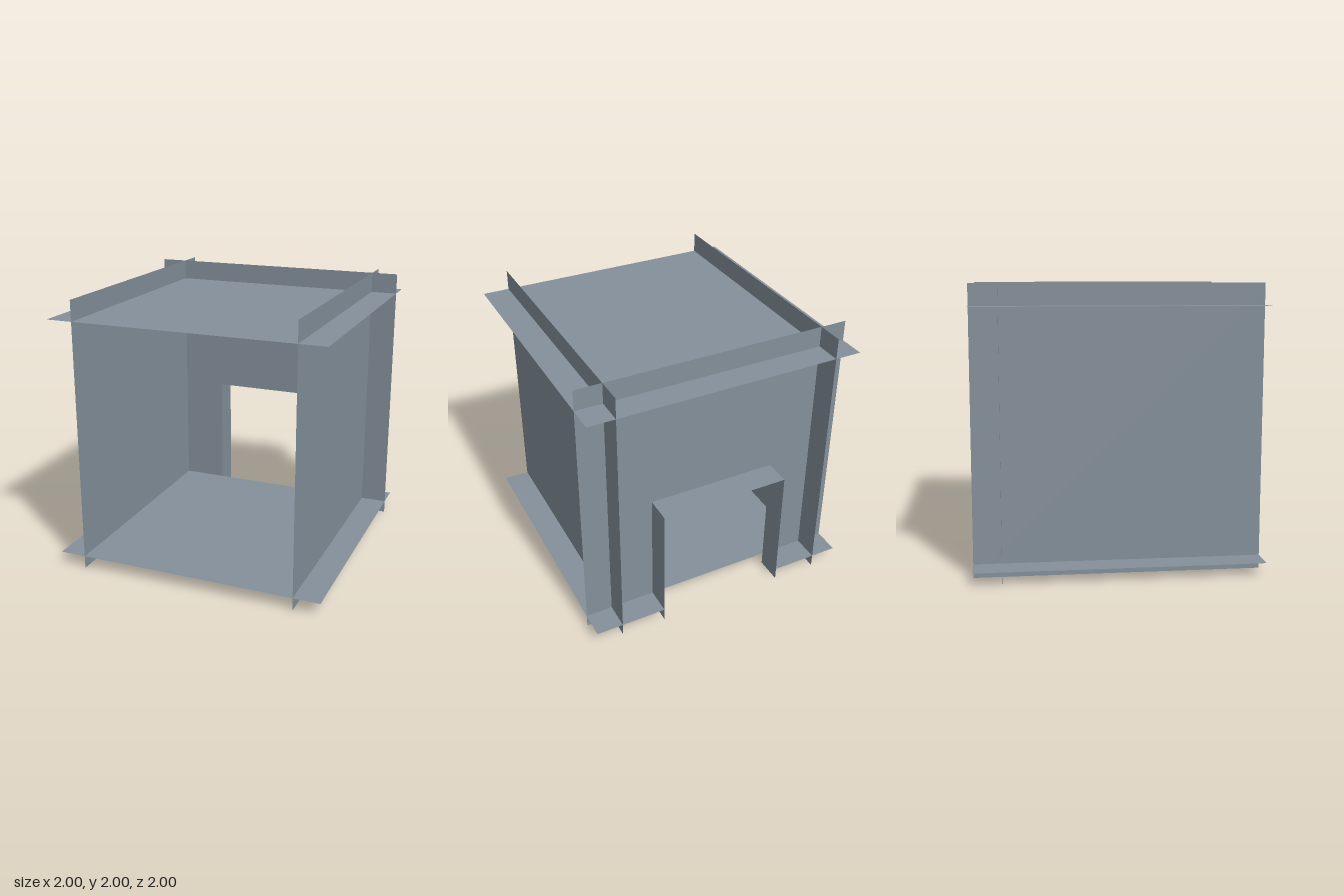
import * as THREE from 'three';

const WALL = 0.805;     // offset of the side and back panels from the centre
const FLOOR = 0.095;    // floor height
const CEILING = 1.85;   // ceiling height
const DOOR_X = 0.475;   // half width of the doorway
const DOOR_TOP = 0.95;  // doorway height

export function createModel() {
  const group = new THREE.Group();
  const slate = new THREE.MeshStandardMaterial({ color: 0x84909b, side: THREE.DoubleSide });
  slate.name = 'slate grey';

  const add = (name, geometry, x = 0, y = 0, z = 0) => {
    const mesh = new THREE.Mesh(geometry, slate);
    mesh.name = name;
    mesh.position.set(x, y, z);
    group.add(mesh);
  };
  const outline = (points) =>
    new THREE.ShapeGeometry(new THREE.Shape(points.map(([x, y]) => new THREE.Vector2(x, y))));

  // Side walls, running past the floor, ceiling and back wall
  for (const [name, s] of [['leftWall', 1], ['rightWall', -1]]) {
    add(name, new THREE.PlaneGeometry(2, 2).rotateY(s * Math.PI / 2), s * WALL, 1, 0);
  }

  // Ceiling
  add('ceiling', new THREE.PlaneGeometry(2, 2).rotateX(-Math.PI / 2), 0, CEILING, 0);

  // Floor, notched behind the doorway (shape y becomes -z)
  add('floor', outline([
    [-1, -1], [1, -1], [1, 1], [DOOR_X, 1],
    [DOOR_X, WALL], [-DOOR_X, WALL], [-DOOR_X, 1], [-1, 1],
  ]).rotateX(-Math.PI / 2), 0, FLOOR, 0);

  // Back wall with its doorway open to the ground
  add('backWall', outline([
    [-1, 0], [-DOOR_X, 0], [-DOOR_X, DOOR_TOP], [DOOR_X, DOOR_TOP],
    [DOOR_X, 0], [1, 0], [1, 2], [-1, 2],
  ]), 0, 0, -WALL);

  // Door frame projecting behind the back wall
  const depth = 1 - WALL;
  const frameZ = -(1 + WALL) / 2;
  for (const [name, s] of [['leftDoorJamb', 1], ['rightDoorJamb', -1]]) {
    add(name, new THREE.PlaneGeometry(depth, DOOR_TOP).rotateY(s * Math.PI / 2),
      s * DOOR_X, DOOR_TOP / 2, frameZ);
  }
  add('doorLintel', new THREE.PlaneGeometry(2 * DOOR_X, depth).rotateX(-Math.PI / 2),
    0, DOOR_TOP, frameZ);

  return group;
}
